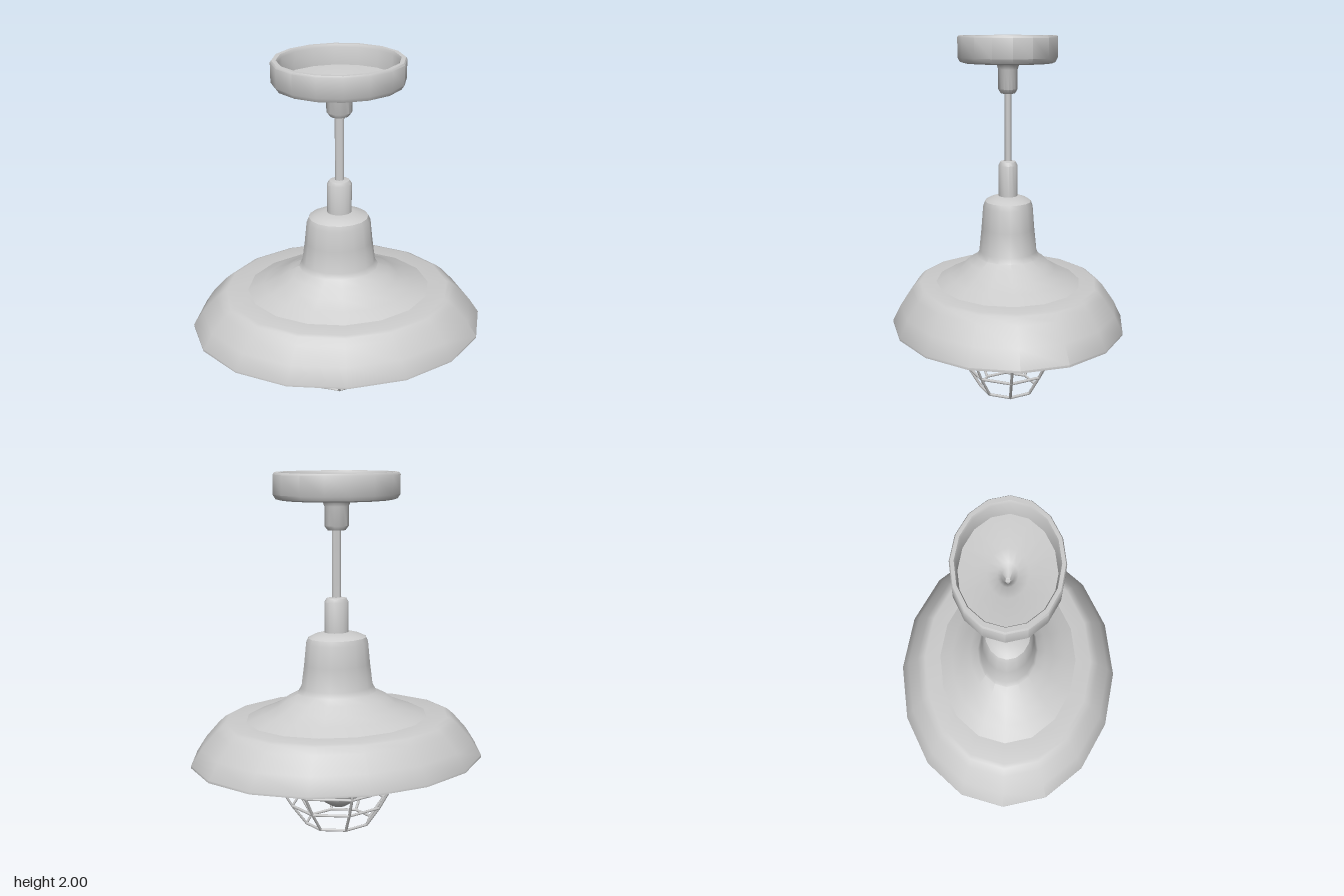
import * as THREE from 'three';
import { toCreasedNormals, mergeGeometries } from 'three/addons/utils/BufferGeometryUtils.js';

const SQUASH = 0.775; // every turned metal part is an oval, narrower in z

export function createModel() {
  const lamp = new THREE.Group();
  lamp.name = 'pendantLamp';
  const metal = new THREE.MeshStandardMaterial({ color: 0xcccccc, side: THREE.DoubleSide });

  function add(name, geometry, x = 0) {
    const mesh = new THREE.Mesh(geometry, metal);
    mesh.name = name;
    mesh.position.x = x;
    lamp.add(mesh);
  }

  // Turned part from [radius, height] pairs
  function turned(name, profile, { x = 0, squash = SQUASH, sides = 16, crease = 0.65 } = {}) {
    const geometry = new THREE.LatheGeometry(profile.map(([r, y]) => new THREE.Vector2(r, y)), sides);
    geometry.scale(1, 1, squash);
    add(name, toCreasedNormals(geometry, crease), x);
  }

  // Ceiling cup, open at the top with a dimpled floor
  turned('canopy', [
    [0.07, 1.845], [0.31, 1.855], [0.335, 1.862], [0.35, 1.885], [0.35, 1.99], [0.343, 2],
    [0.32, 2], [0.312, 1.985], [0.305, 1.89], [0.13, 1.875], [0.065, 1.86], [0.04, 1.84], [0.015, 1.79],
  ], { x: 0.007 });
  turned('canopyCollar', [
    [0.02, 1.69], [0.05, 1.692], [0.068, 1.715], [0.068, 1.82], [0.078, 1.845], [0.09, 1.855],
  ], { x: 0.009 });

  // Rod and lower collar
  turned('rod', [[0.025, 1.3], [0.025, 1.71]], { x: 0.01 });
  turned('rodCollar', [
    [0.068, 1.12], [0.068, 1.3], [0.055, 1.32], [0.02, 1.325],
  ], { x: 0.01 });

  // Bell-shaped neck flowing into the dome
  turned('neck', [
    [0.53, 0.64], [0.43, 0.68], [0.34, 0.72], [0.285, 0.76], [0.225, 0.79], [0.207, 0.82],
    [0.19, 0.95], [0.178, 1.07], [0.165, 1.1], [0.135, 1.115], [0.08, 1.13], [0.02, 1.13],
  ], { x: 0.006 });

  // Wide sloping skirt with a thin rim
  turned('shade', [
    [0.45, 0.645], [0.45, 0.625], [0.62, 0.622], [0.655, 0.6], [0.75, 0.505], [0.82, 0.41],
    [0.838, 0.408], [0.838, 0.42], [0.78, 0.51], [0.7, 0.6], [0.66, 0.635], [0.635, 0.643], [0.45, 0.645],
  ]);

  // Faceted socket and round bulb
  turned('socket', [
    [0.03, 0.63], [0.13, 0.63], [0.13, 0.83], [0.03, 0.83],
  ], { sides: 8, squash: 1, crease: 0.3 });
  turned('bulb', [
    [0, 0.1], [0.05, 0.108], [0.1, 0.142], [0.135, 0.192], [0.147, 0.25], [0.137, 0.305],
    [0.11, 0.36], [0.083, 0.41], [0.065, 0.47], [0.06, 0.54], [0.06, 0.64],
  ], { x: -0.004, squash: 1 });

  // Wire guard: eight bent bars tied by straight-sided hoops
  const levels = [[0.3, 0.64], [0.345, 0.52], [0.358, 0.38], [0.342, 0.24], [0.275, 0.125], [0.192, 0.01]];
  const corner = ([r, y], i) => {
    const a = (i * Math.PI) / 4;
    return new THREE.Vector3(r * Math.sin(a), y, r * 0.825 * Math.cos(a));
  };
  function wire(a, b) {
    const dir = b.clone().sub(a);
    const geometry = new THREE.CylinderGeometry(0.008, 0.008, dir.length() + 0.006, 6);
    geometry.applyQuaternion(new THREE.Quaternion().setFromUnitVectors(new THREE.Vector3(0, 1, 0), dir.normalize()));
    const mid = a.clone().add(b).multiplyScalar(0.5);
    return geometry.translate(mid.x, mid.y, mid.z);
  }
  const bars = [], hoops = [];
  levels.forEach((level, k) => {
    for (let i = 0; i < 8; i++) {
      if (k > 0) {
        bars.push(wire(corner(levels[k - 1], i), corner(level, i)));
        hoops.push(wire(corner(level, i), corner(level, i + 1)));
      }
    }
  });
  add('guardBars', mergeGeometries(bars), -0.003);
  add('guardHoops', mergeGeometries(hoops), -0.003);

  return lamp;
}
